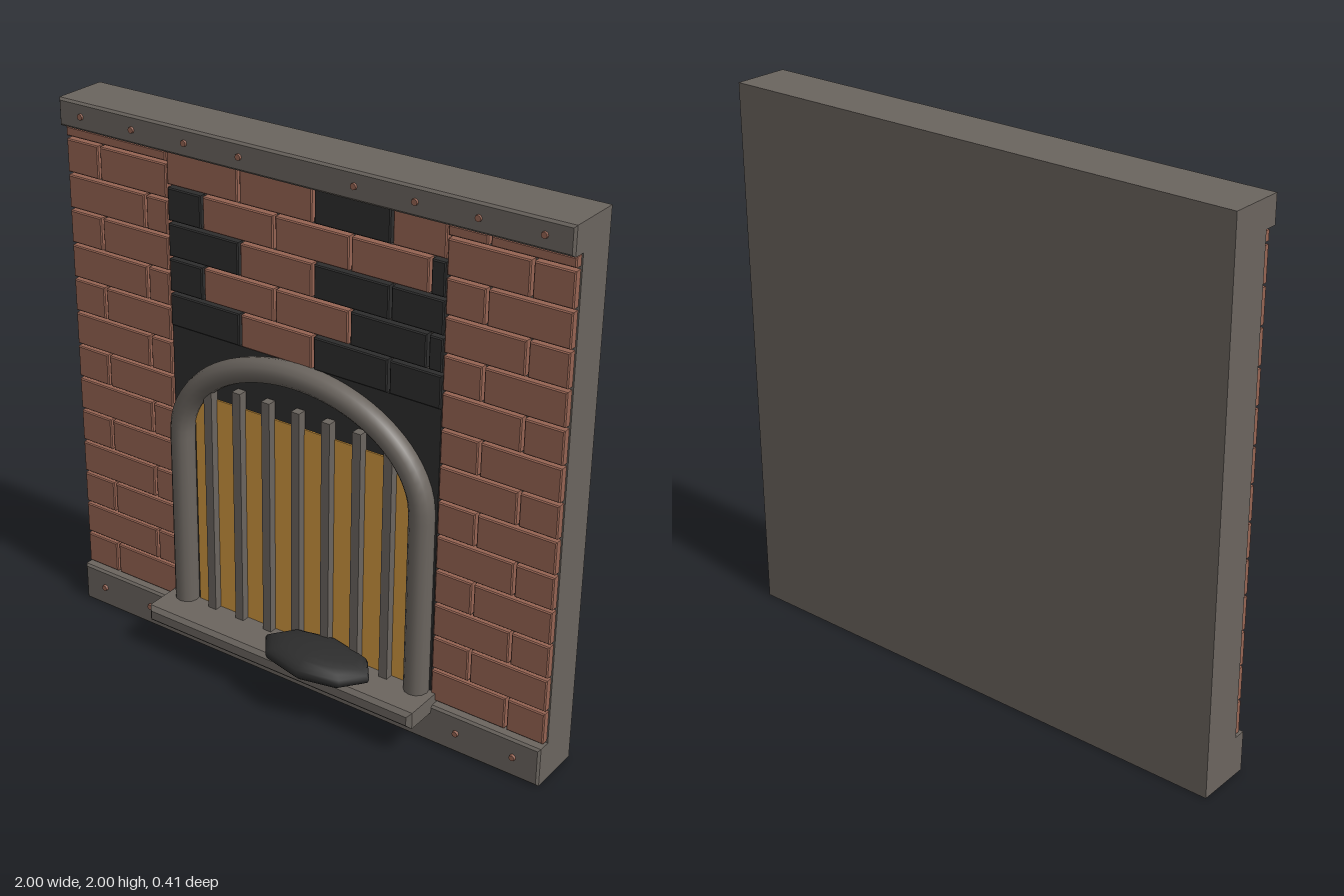
import * as THREE from 'three';

const mat = (name, color) => {
  const m = new THREE.MeshStandardMaterial({ color });
  m.name = name;
  return m;
};

export function createModel() {
  const root = new THREE.Group();
  root.name = 'fireplaceWall';
  const iron = mat('ironGrey', 0x6b655f);
  const brick = mat('brickRed', 0x966453);
  const soot = mat('sootBlack', 0x2d2d2d);
  const glow = mat('fireOrange', 0xd0973f);

  const group = (name) => {
    const g = new THREE.Group();
    g.name = name;
    root.add(g);
    return g;
  };
  const add = (parent, name, geo, material) => {
    const m = new THREE.Mesh(geo, material);
    m.name = name;
    parent.add(m);
    return m;
  };

  // Box given by its limits, with an optional chamfer of size b
  const block = (parent, name, material, x0, x1, y0, y1, z0, z1, b = 0) => {
    let geo;
    if (b > 0) {
      const s = new THREE.Shape();
      s.moveTo(x0 + b, y0 + b);
      s.lineTo(x1 - b, y0 + b);
      s.lineTo(x1 - b, y1 - b);
      s.lineTo(x0 + b, y1 - b);
      s.closePath();
      geo = new THREE.ExtrudeGeometry(s, {
        depth: z1 - z0 - 2 * b, bevelEnabled: true, bevelSize: b, bevelThickness: b, bevelSegments: 1,
      });
      geo.translate(0, 0, z0 + b);
    } else {
      geo = new THREE.BoxGeometry(x1 - x0, y1 - y0, z1 - z0);
      geo.translate((x0 + x1) / 2, (y0 + y1) / 2, (z0 + z1) / 2);
    }
    return add(parent, name, geo, material);
  };

  // Wall slab, which also shows as mortar between the bricks
  block(root, 'wallSlab', iron, -1, 1, 0, 2, -0.21, -0.05);

  // Top and bottom beams with rivets
  const beams = group('beams');
  block(beams, 'topBeam', iron, -1, 1, 1.9, 2, -0.08, 0.004, 0.008);
  block(beams, 'bottomBeam', iron, -1, 1, 0, 0.15, -0.08, 0.002, 0.008);
  const rivetGeo = new THREE.CylinderGeometry(0.011, 0.013, 0.016, 8).rotateX(Math.PI / 2);
  for (const y of [0.08, 1.95]) {
    for (let i = -4; i <= 4; i++) {
      if (i === 0) continue;
      add(beams, 'rivet', rivetGeo, brick).position.set(i * 0.225, y, 0.003);
    }
  }

  // Bricks laid in one course between the given joints
  const course = (parent, joints, y0, y1, materials) => {
    for (let i = 0; i < joints.length - 1; i++) {
      block(parent, 'brick', materials ? materials[i] : brick,
        joints[i] + 0.005, joints[i + 1] - 0.005, y0, y1, -0.06, -0.022, 0.004);
    }
  };

  // Side brickwork
  const sides = group('sideBricks');
  for (let k = 0; k < 14; k++) {
    const y0 = 0.158 + k * 0.1308;
    const y1 = Math.min(y0 + 0.12, 1.893);
    const top = k === 13;
    const odd = k % 2 === 1;
    course(sides, [-1, top ? -0.57 : odd ? -0.65 : -0.85, -0.55].filter((x) => x !== -0.57), y0, y1);
    course(sides, [0.55, odd ? 0.7 : 0.85, 1], y0, y1);
  }

  // Brickwork over the opening, partly sooty
  const centre = group('chimneyBricks');
  const even = [-0.555, -0.25, 0.05, 0.35, 0.555];
  const shifted = [-0.555, -0.405, -0.105, 0.195, 0.495, 0.555];
  const patterns = ['srss', 'srrss', 'srss', 'srrrs', 'rrsr'];
  patterns.forEach((p, k) => {
    const y0 = 1.265 + k * 0.1285;
    course(centre, k % 2 ? shifted : even, y0, y0 + 0.117,
      [...p].map((c) => (c === 's' ? soot : brick)));
  });

  // Sooty opening and glowing fire behind the grate
  block(root, 'opening', soot, -0.55, 0.55, 0.14, 1.263, -0.06, -0.03);
  block(root, 'fireGlow', glow, -0.455, 0.455, 0.16, 1.03, -0.031, -0.024);

  // Grate: arched pipe and square bars
  const grate = group('grate');
  const path = new THREE.CurvePath();
  const v = (x, y) => new THREE.Vector3(x, y, -0.01);
  const arch = [];
  for (let i = 0; i <= 24; i++) {
    const a = Math.PI * (1 - i / 24);
    arch.push(v(0.503 * Math.cos(a), 0.87 + 0.358 * Math.sin(a)));
  }
  path.add(new THREE.LineCurve3(v(-0.503, 0.16), v(-0.503, 0.87)));
  path.add(new THREE.CatmullRomCurve3(arch));
  path.add(new THREE.LineCurve3(v(0.503, 0.87), v(0.503, 0.16)));
  add(grate, 'archPipe', new THREE.TubeGeometry(path, 80, 0.045, 12, false), iron);
  for (let i = -3; i <= 3; i++) {
    const x = i * 0.125;
    block(grate, 'grateBar', iron, x - 0.017, x + 0.017, 0.17, 1.1, -0.028, 0.006);
  }

  // Hearth ledge
  block(root, 'hearthLedge', iron, -0.573, 0.573, 0.123, 0.187, -0.05, 0.135, 0.015);

  // Lump of coal on the ledge
  const coal = add(root, 'coal', new THREE.SphereGeometry(1, 8, 12), soot);
  coal.scale.set(0.223, 0.055, 0.122);
  coal.position.set(0.147, 0.217, 0.08);

  return root;
}
